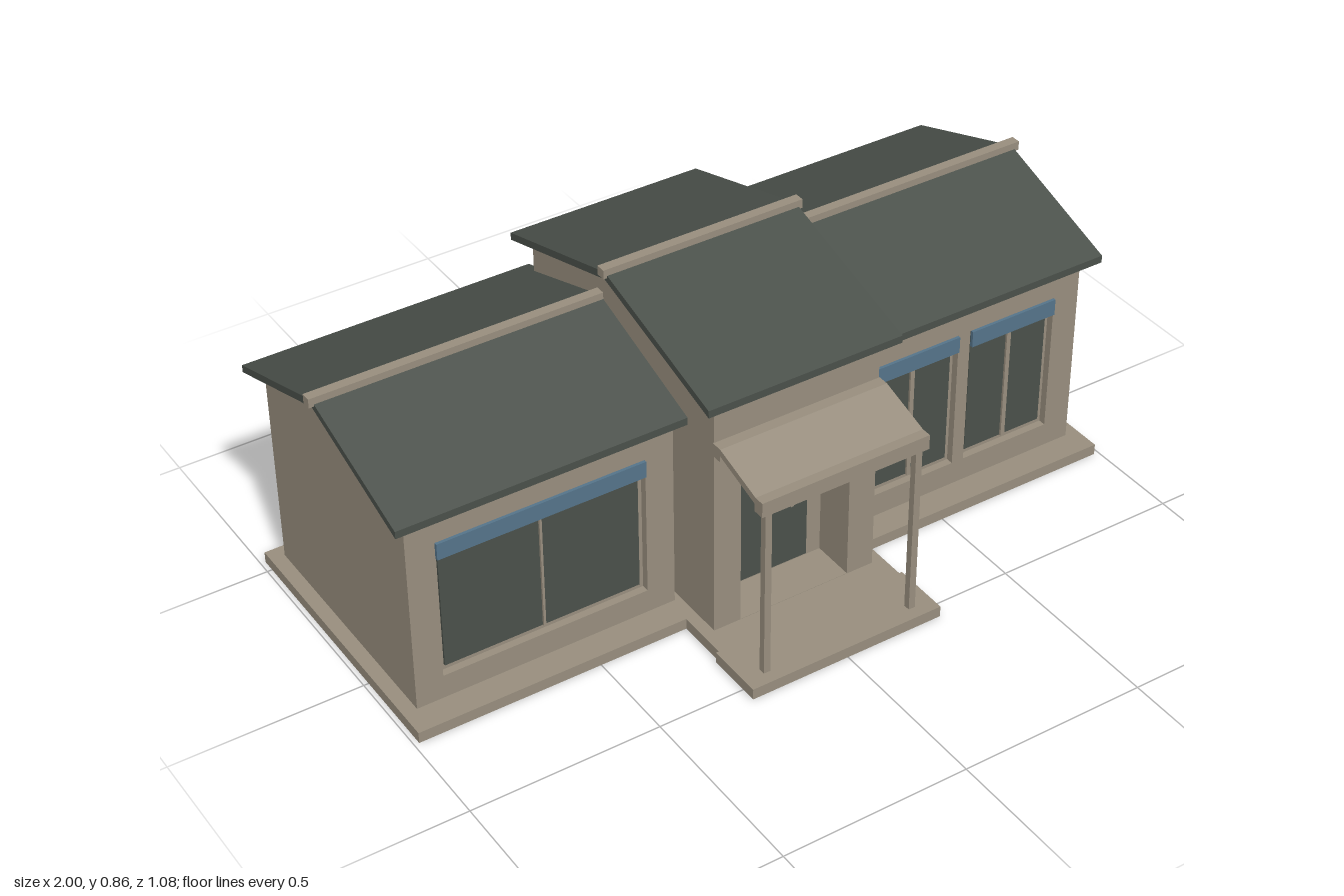
import * as THREE from 'three';

const flat = (name, color) => {
  const m = new THREE.MeshStandardMaterial({ color });
  m.name = name;
  return m;
};

export function createModel() {
  const house = new THREE.Group();
  house.name = 'house';
  const tan = flat('tan', 0x988e7e);
  const slate = flat('slate', 0x4a504a);
  const blue = flat('blue', 0x55748a);

  const add = (name, geometry, material, parent = house) => {
    const mesh = new THREE.Mesh(geometry, material);
    mesh.name = name;
    parent.add(mesh);
    return mesh;
  };
  // Box given by its limits on each axis
  const box = (name, x0, x1, y0, y1, z0, z1, material, parent) => {
    const g = new THREE.BoxGeometry(x1 - x0, y1 - y0, z1 - z0);
    g.translate((x0 + x1) / 2, (y0 + y1) / 2, (z0 + z1) / 2);
    return add(name, g, material, parent);
  };
  // Side profile of [z, y] points extruded along x
  const profile = (name, x0, x1, points, material, parent) => {
    const shape = new THREE.Shape(points.map(([z, y]) => new THREE.Vector2(-z, y)));
    const g = new THREE.ExtrudeGeometry(shape, { depth: x1 - x0, bevelEnabled: false });
    g.rotateY(Math.PI / 2);
    g.translate(x0, 0, 0);
    return add(name, g, material, parent);
  };
  // Front wall with rectangular openings [x0, x1, y0, y1]
  const frontWall = (name, x0, x1, y0, y1, z0, z1, openings, parent) => {
    const rect = (Type, a, b, c, d) => new Type([[a, c], [b, c], [b, d], [a, d]].map(p => new THREE.Vector2(...p)));
    const shape = rect(THREE.Shape, x0, x1, y0, y1);
    shape.holes = openings.map(o => rect(THREE.Path, ...o));
    const g = new THREE.ExtrudeGeometry(shape, { depth: z1 - z0, bevelEnabled: false });
    g.translate(0, 0, z0);
    return add(name, g, tan, parent);
  };
  // Folded roof slab with a ridge cap
  const roof = (x0, x1, zf, zb, eave, ridge, cap0, cap1, parent) => {
    const zr = (zf + zb) / 2, t = 0.02;
    profile('roof', x0, x1, [[zf, eave], [zf, eave + t], [zr, ridge], [zb, eave + t], [zb, eave], [zr, ridge - t]], slate, parent);
    box('ridgeCap', cap0, cap1, ridge - 0.01, ridge + 0.014, zr - 0.013, zr + 0.013, tan, parent);
  };

  // Wings
  const windowSets = {
    '-1': [[-0.877, -0.323, 0.006]],
    '1': [[0.32, 0.58, 0.012], [0.615, 0.875, 0.012]],
  };
  for (const side of [-1, 1]) {
    const wing = new THREE.Group();
    wing.name = side < 0 ? 'rightWing' : 'leftWing';
    house.add(wing);
    const span = (a, b) => (side > 0 ? [a, b] : [-b, -a]);
    const [w0, w1] = span(0.247, 0.95);
    const windows = windowSets[side];

    box('wingBase', ...span(0.21, 0.987), 0, 0.03, -0.536, 0.244, tan, wing);
    box('wingWalls', w0, w1, 0.03, 0.57, -0.5, 0.15, tan, wing);
    frontWall('wingFrontWall', w0, w1, 0.03, 0.57, 0.15, 0.17,
      windows.map(([a, b]) => [a, b, 0.095, 0.485]), wing);
    profile('wingGable', w0, w1, [[0.17, 0.57], [-0.165, 0.69], [-0.5, 0.57]], tan, wing);
    roof(...span(0.21, 0.987), 0.207, -0.541, 0.57, 0.717, ...span(0.2, 1), wing);

    // Windows with centre bar and blue header
    for (const [a, b, bar] of windows) {
      const mid = (a + b) / 2;
      box('windowGlass', a + 0.013, b - 0.013, 0.11, 0.47, 0.149, 0.156, slate, wing);
      box('windowBar', mid - bar / 2, mid + bar / 2, 0.11, 0.47, 0.15, 0.162, tan, wing);
      box('windowHeader', a + 0.002, b - 0.002, 0.44, 0.485, 0.169, 0.178, blue, wing);
    }
  }

  // Central hall with recessed entrance
  const hall = new THREE.Group();
  hall.name = 'hall';
  house.add(hall);
  box('hallBase', -0.262, 0.262, 0, 0.03, -0.515, 0.39, tan, hall);
  box('hallWalls', -0.23, 0.23, 0.03, 0.692, -0.48, 0.2, tan, hall);
  frontWall('hallFrontWall', -0.23, 0.23, 0.03, 0.692, 0.2, 0.316, [[-0.155, 0.155, 0.031, 0.45]], hall);
  profile('hallGable', -0.23, 0.23, [[0.316, 0.692], [-0.082, 0.812], [-0.48, 0.692]], tan, hall);
  roof(-0.267, 0.267, 0.352, -0.521, 0.692, 0.841, -0.277, 0.277, hall);
  box('door', -0.11, 0.11, 0.04, 0.445, 0.199, 0.207, slate, hall);
  box('doorHandle', 0.058, 0.066, 0.21, 0.27, 0.206, 0.215, tan, hall);
  box('doorHeader', -0.148, 0.148, 0.44, 0.485, 0.315, 0.325, blue, hall);

  // Porch
  const porch = new THREE.Group();
  porch.name = 'porch';
  house.add(porch);
  box('porchBase', -0.27, 0.27, 0, 0.03, 0.385, 0.541, tan, porch);
  box('canopyBackBeam', -0.232, 0.232, 0.55, 0.586, 0.314, 0.345, tan, porch);
  box('canopyFrontBeam', -0.232, 0.232, 0.502, 0.542, 0.485, 0.515, tan, porch);
  profile('canopy', -0.232, 0.232, [[0.345, 0.567], [0.345, 0.586], [0.488, 0.542], [0.488, 0.522]], tan, porch);
  for (const s of [-1, 1]) {
    box('post', s * 0.209 - 0.009, s * 0.209 + 0.009, 0.03, 0.503, 0.49, 0.508, tan, porch);
  }

  return house;
}
